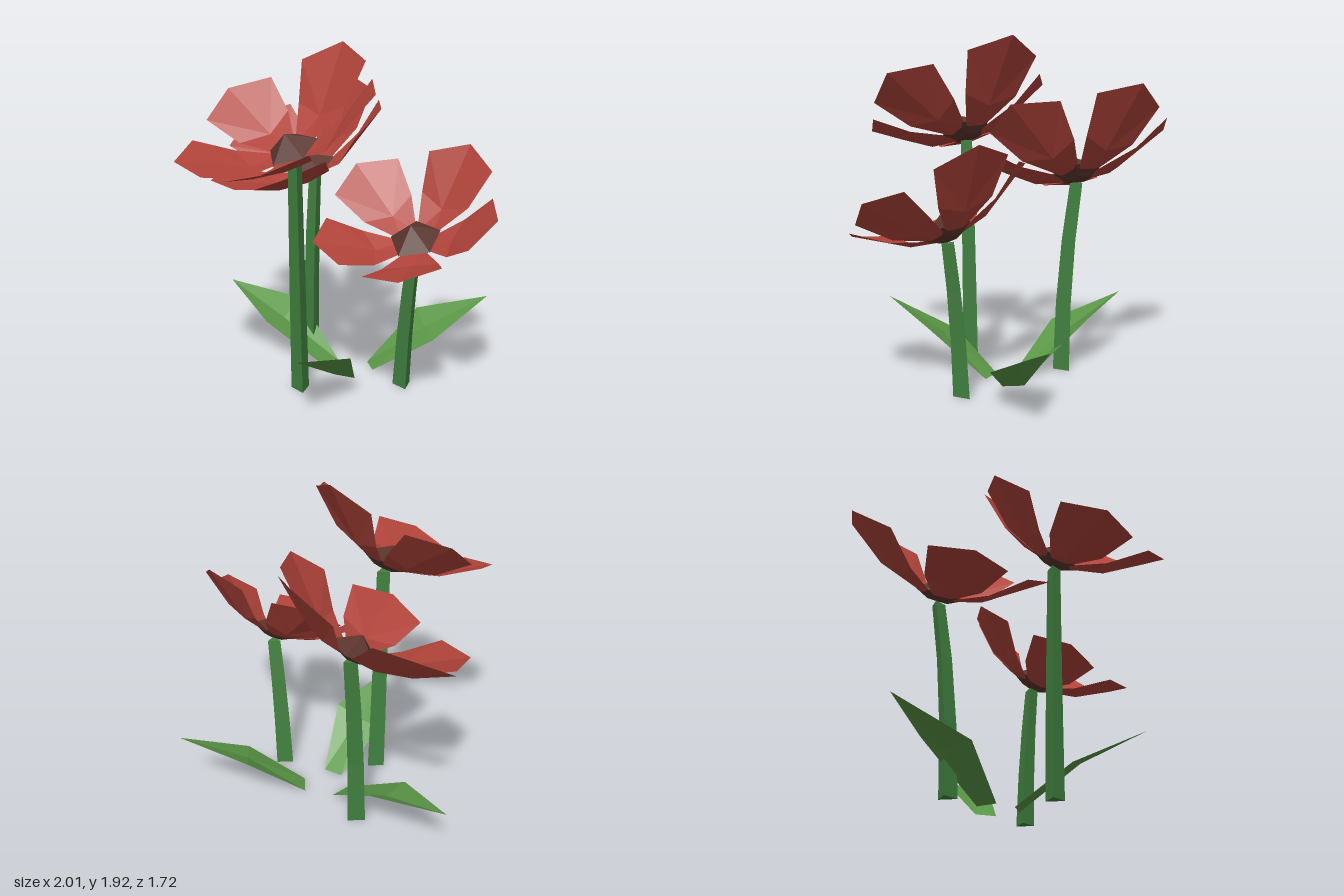
import * as THREE from 'three';

const paint = (color, side = THREE.FrontSide) =>
  new THREE.MeshStandardMaterial({ color, flatShading: true, side });

// Faceted surface: a ring of corners fanned around a sunken middle point
function fan(middle, ring) {
  const corners = [];
  ring.forEach((p, i) => corners.push(...middle, ...p, ...ring[(i + 1) % ring.length]));
  const g = new THREE.BufferGeometry();
  g.setAttribute('position', new THREE.Float32BufferAttribute(corners, 3));
  g.computeVertexNormals();
  return g;
}

function named(name, geometry, material) {
  const mesh = new THREE.Mesh(geometry, material);
  mesh.name = name;
  return mesh;
}

// Three-sided tapering stem, bent along a curve with its flat face to the front
function makeStem(points, material) {
  const curve = new THREE.CatmullRomCurve3(points.map(p => new THREE.Vector3(...p)));
  const height = points[points.length - 1][1];
  const g = new THREE.CylinderGeometry(0.043, 0.058, height, 3, 3, false, Math.PI);
  const pos = g.attributes.position;
  for (let i = 0; i < pos.count; i++) {
    const t = THREE.MathUtils.clamp(pos.getY(i) / height + 0.5, 0, 1);
    const c = curve.getPoint(t);
    pos.setXYZ(i, pos.getX(i) + c.x, c.y, pos.getZ(i) + c.z);
  }
  g.computeVertexNormals();
  return named('stem', g, material);
}

export function createModel() {
  const model = new THREE.Group();
  model.name = 'flowers';
  const petalMat = paint(0xb0433a, THREE.DoubleSide);
  const leafMat = paint(0x5a9646, THREE.DoubleSide);
  const stemMat = paint(0x41803f);
  const heartMat = paint(0x5a352d);

  // Petal points along +x: narrow base, wide shoulders, blunt tip, cupped middle
  const petalGeo = fan([0.25, 0.085, 0], [
    [0.07, 0.04, -0.05], [0.07, 0.04, 0.05], [0.29, 0.125, 0.17],
    [0.48, 0.27, 0.23], [0.595, 0.31, 0], [0.48, 0.27, -0.23], [0.29, 0.125, -0.17],
  ]);

  // Five-sided pointed flower heart
  const heartGeo = new THREE.LatheGeometry(
    [[0, 0.02], [0.06, 0.02], [0.145, 0.06], [0, 0.16]].map(p => new THREE.Vector2(...p)), 5);

  // Flowers: stem path, forward tilt, sideways lean, turn and size of the petals
  const flowers = [
    { path: [[0.055, 0, 0.275], [0.055, 0.7, 0.29], [0.06, 1.33, 0.305]], tilt: 30, lean: 0, turn: 95,
      sizes: [1.04, 0.96, 0.95, 0.95, 0.99] },
    { path: [[-0.32, 0, -0.12], [-0.33, 0.6, -0.14], [-0.36, 1.1, -0.19]], tilt: 28, lean: 7, turn: 97,
      sizes: [1.03, 1.07, 0.95, 0.95, 1] },
    { path: [[0.4, 0, -0.19], [0.43, 0.45, -0.19], [0.48, 0.84, -0.19]], tilt: 29, lean: -7, turn: 89,
      sizes: [0.95, 0.92, 0.87, 0.88, 0.84] },
  ];
  const rad = THREE.MathUtils.degToRad;
  for (const f of flowers) {
    const flower = new THREE.Group();
    flower.name = 'flower';
    flower.add(makeStem(f.path, stemMat));

    const [x, y, z] = f.path[2];
    const head = new THREE.Group();
    head.name = 'flowerHead';
    head.position.set(x, y, z - 0.01);
    head.rotation.set(rad(f.tilt), 0, rad(f.lean));
    head.add(named('heart', heartGeo, heartMat));
    f.sizes.forEach((size, i) => {
      const petal = named('petal', petalGeo, petalMat);
      petal.rotation.y = rad(f.turn + 72 * i);
      petal.scale.setScalar(size);
      head.add(petal);
    });
    flower.add(head);
    model.add(flower);
  }

  // Leaves: base and tip on the ground plan, tip height, heights of the two side corners
  const leaves = [
    { base: [-0.07, -0.07], tip: [-0.91, 0.06], height: 0.35, sides: [0.29, 0.22] },
    { base: [0.11, -0.01], tip: [0.43, 0.62], height: 0.39, sides: [0.2, 0.28] },
    { base: [0.1, -0.22], tip: [0.45, -0.86], height: 0.39, sides: [0.2, 0.29] },
  ];
  for (const { base, tip, height, sides } of leaves) {
    const dx = tip[0] - base[0], dz = tip[1] - base[1];
    const length = Math.hypot(dx, dz);
    const mid = length * 0.46;
    const leaf = named('leaf', fan([mid, height * 0.58, 0], [
      [0, 0.005, -0.06], [0, 0.005, 0.06], [mid, sides[0], 0.155],
      [length, height, 0], [mid, sides[1], -0.155],
    ]), leafMat);
    leaf.position.set(base[0], 0, base[1]);
    leaf.rotation.y = Math.atan2(-dz, dx);
    model.add(leaf);
  }
  return model;
}
